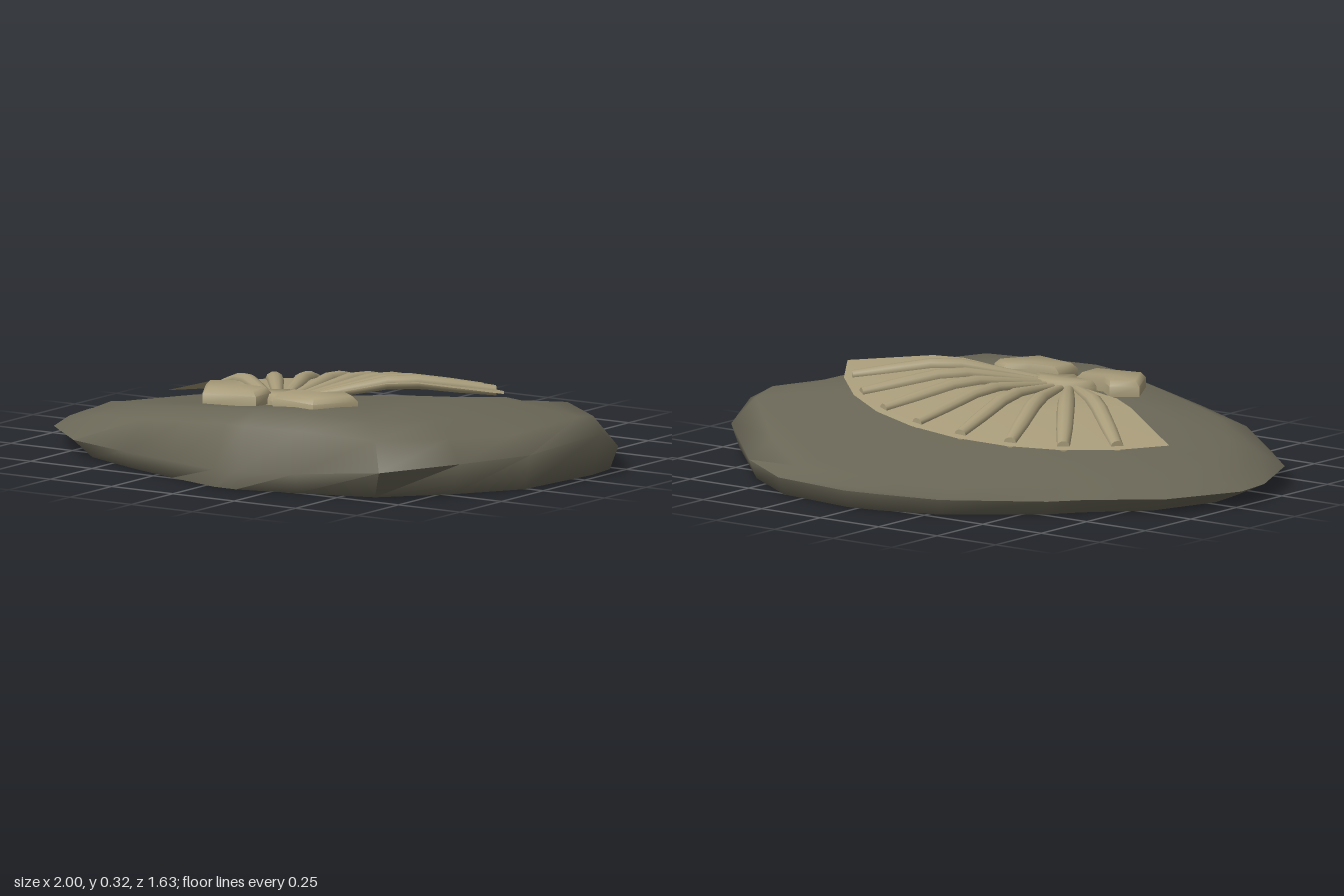
import * as THREE from 'three';
import { toCreasedNormals } from 'three/addons/utils/BufferGeometryUtils.js';

const stone = new THREE.MeshStandardMaterial({ name: 'stone', color: 0x6a6757 });
const fossil = new THREE.MeshStandardMaterial({ name: 'fossil', color: 0xa89c7a, side: THREE.DoubleSide });

// Skin a stack of equal-length rings of [x, y, z] points
function loft(rings, closed = true, crease = 1.2) {
  const n = rings[0].length, index = [];
  for (let r = 0; r < rings.length - 1; r++) {
    for (let i = 0; i < (closed ? n : n - 1); i++) {
      const j = (i + 1) % n;
      const a = r * n + i, b = r * n + j, c = a + n, d = b + n;
      index.push(b, a, c, b, c, d);
    }
  }
  const geo = new THREE.BufferGeometry();
  geo.setAttribute('position', new THREE.Float32BufferAttribute(rings.flat(2), 3));
  geo.setIndex(index);
  return toCreasedNormals(geo, crease);
}

function add(group, name, geo, material) {
  const mesh = new THREE.Mesh(geo, material);
  mesh.name = name;
  group.add(mesh);
}

// Widest outline of the rock: x, z, height of the widest point, scale of the foot below it
const outline = [
  [0.04, -0.82, 0.06, 0.975], [0.35, -0.78, 0.06, 0.975], [0.6, -0.62, 0.065, 0.97],
  [0.98, -0.23, 0.08, 0.97], [1, -0.1, 0.145, 0.965], [0.96, 0.27, 0.12, 0.97],
  [0.83, 0.5, 0.11, 0.95], [0.67, 0.75, 0.1, 0.9], [0.35, 0.78, 0.07, 0.97],
  [0.13, 0.815, 0.06, 0.995], [0.04, 0.815, 0.06, 0.995], [-0.18, 0.76, 0.06, 0.98],
  [-0.4, 0.7, 0.06, 0.96], [-0.67, 0.61, 0.06, 0.93], [-0.88, 0.42, 0.06, 0.9],
  [-0.98, 0.18, 0.05, 0.89], [-1, 0.03, 0.05, 0.89], [-0.88, -0.23, 0.05, 0.92],
  [-0.67, -0.41, 0.05, 0.95], [-0.59, -0.51, 0.05, 0.96], [-0.3, -0.73, 0.055, 0.97],
  [-0.08, -0.8, 0.06, 0.975],
];

// Sloping top of the rock, falling away at the sides, back and front corner
function rockTop(x, z) {
  return 0.185 + 0.09 * x + 0.085 * z - 0.1 * Math.max(0, -z - 0.1)
    - 0.2 * Math.max(0, x - 0.6) - 0.15 * Math.max(0, -x - 0.7)
    - 0.12 * Math.max(0, x + z - 0.8);
}

function rockGeometry() {
  const topRing = (s, drop) => outline.map(([x, z]) =>
    [x * s, rockTop(x * s, z * s) - drop * Math.max(0, z / 0.8), z * s]);
  return loft([
    outline.map(() => [0, 0, 0]),
    outline.map(([x, z, , foot]) => [x * foot, 0, z * foot]),
    outline.map(([x, z, y]) => [x, y, z]),
    topRing(0.91, 0.045),
    topRing(0.8, 0),
    topRing(0.6, 0),
    topRing(0.3, 0),
    outline.map(() => [0, rockTop(0, 0), 0]),
  ], true, 1.45);
}

// Fan surface in polar form about the hub, raised half way along its radius
const HUB_X = 0.04, HUB_Z = 0.42, FAN_R = 0.753;
function fanPoint(angle, r) {
  const x = HUB_X + 1.02 * r * Math.cos(angle), z = HUB_Z - r * Math.sin(angle);
  const rise = THREE.MathUtils.clamp(Math.min((r - 0.1) / 0.26, (FAN_R - r) / 0.29), 0, 1);
  return [x, 0.207 + 0.09 * x + 0.085 * z + 0.042 * rise, z];
}

function fanGeometry() {
  const from = THREE.MathUtils.degToRad(26.5), to = Math.PI - from, steps = 9;
  return loft([0.08, 0.1, 0.36, 0.463, FAN_R].map((r) =>
    Array.from({ length: steps + 1 }, (_, i) => fanPoint(from + (to - from) * i / steps, r))), false);
}

// Rounded rib, thickest half way, lying on the fan
function ribGeometry(angle) {
  const sections = [
    [0.1, 0], [0.1, 0.016], [0.25, 0.024], [0.36, 0.029], [0.463, 0.03],
    [0.6, 0.028], [0.725, 0.022], [0.725, 0],
  ];
  return loft(sections.map(([r, w]) => {
    const [x, y, z] = fanPoint(angle, r);
    return Array.from({ length: 10 }, (_, i) => {
      const t = i / 10 * Math.PI * 2, side = w * Math.cos(t);
      return [x + side * Math.sin(angle), y + w * 0.8 * Math.sin(t), z + side * Math.cos(angle)];
    });
  }));
}

// Plate with a softly bevelled rim
function plateGeometry(points, low, high) {
  const cx = points.reduce((s, p) => s + p[0], 0) / points.length;
  const cz = points.reduce((s, p) => s + p[1], 0) / points.length;
  const ring = (s, y) => points.map(([x, z]) => [cx + (x - cx) * s, y, cz + (z - cz) * s]);
  return loft([ring(0, low), ring(1, low), ring(1, high - 0.018), ring(0.85, high), ring(0, high)]);
}

export function createModel() {
  const model = new THREE.Group();
  model.name = 'fossilRock';
  add(model, 'rock', rockGeometry(), stone);

  const shell = new THREE.Group();
  shell.name = 'fossilShell';
  model.add(shell);
  add(shell, 'shellFan', fanGeometry(), fossil);

  for (let i = 0; i < 8; i++) {
    const angle = THREE.MathUtils.degToRad(90 + (i - 3.5) * 14.3);
    add(shell, 'shellRib' + (i + 1), ribGeometry(angle), fossil);
  }

  // Hub: half disc with a small point at the front
  const hub = Array.from({ length: 9 }, (_, i) => {
    const a = Math.PI * (1 - i / 8);
    return [HUB_X + 0.13 * Math.cos(a), 0.41 - 0.115 * Math.sin(a)];
  });
  hub.push([HUB_X + 0.035, 0.435], [HUB_X, 0.46], [HUB_X - 0.035, 0.435]);
  add(shell, 'shellHub', plateGeometry(hub, 0.21, 0.258), fossil);

  // Hinge ears, mirrored about the hub
  const ear = [[0.04, 0.41], [0.16, 0.4], [0.23, 0.345], [0.31, 0.405], [0.225, 0.55], [0.035, 0.51]];
  add(shell, 'leftEar', plateGeometry(ear.map(([x, z]) => [HUB_X + x, z]), 0.235, 0.282), fossil);
  add(shell, 'rightEar', plateGeometry(ear.map(([x, z]) => [HUB_X - x, z]).reverse(), 0.225, 0.278), fossil);
  return model;
}
